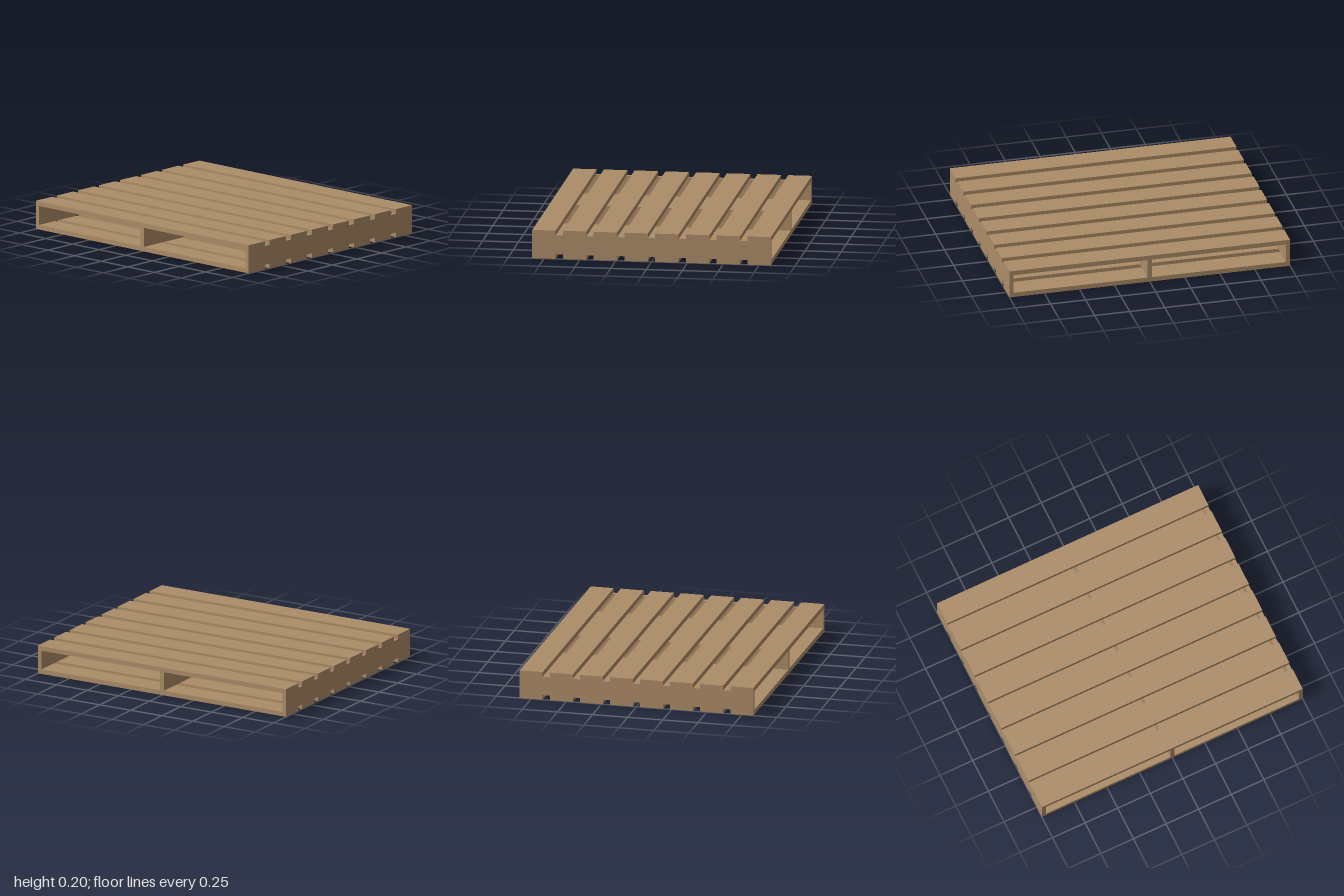
import * as THREE from 'three';

const WIDTH = 1.664, LENGTH = 2, HEIGHT = 0.2;
const BOARD = 0.033;        // deck board thickness
const BOARD_WIDTH = 0.164;
const BOARD_COUNT = 8;
const STRINGER = 0.03;      // stringer thickness

export function createModel() {
  const pallet = new THREE.Group();
  pallet.name = 'pallet';
  const wood = new THREE.MeshStandardMaterial({ color: 0xac8c68 });

  const addBoxes = (name, geometry, positions) => {
    const group = new THREE.Group();
    group.name = name + 's';
    for (const [x, y, z] of positions) {
      const mesh = new THREE.Mesh(geometry, wood);
      mesh.name = name;
      mesh.position.set(x, y, z);
      group.add(mesh);
    }
    pallet.add(group);
  };

  // Top and bottom decks: evenly spaced boards running front to back
  const board = new THREE.BoxGeometry(BOARD_WIDTH, BOARD, LENGTH);
  const pitch = (WIDTH - BOARD_WIDTH) / (BOARD_COUNT - 1);
  const deck = (y) => Array.from({ length: BOARD_COUNT },
    (_, i) => [(i - (BOARD_COUNT - 1) / 2) * pitch, y, 0]);
  addBoxes('topBoard', board, deck(HEIGHT - BOARD / 2));
  addBoxes('bottomBoard', board, deck(BOARD / 2));

  // Three upright stringers across the width, between the decks
  const stringer = new THREE.BoxGeometry(WIDTH, HEIGHT - 2 * BOARD, STRINGER);
  const end = (LENGTH - STRINGER) / 2;
  addBoxes('stringer', stringer, [-end, 0, end].map((z) => [0, HEIGHT / 2, z]));

  return pallet;
}
